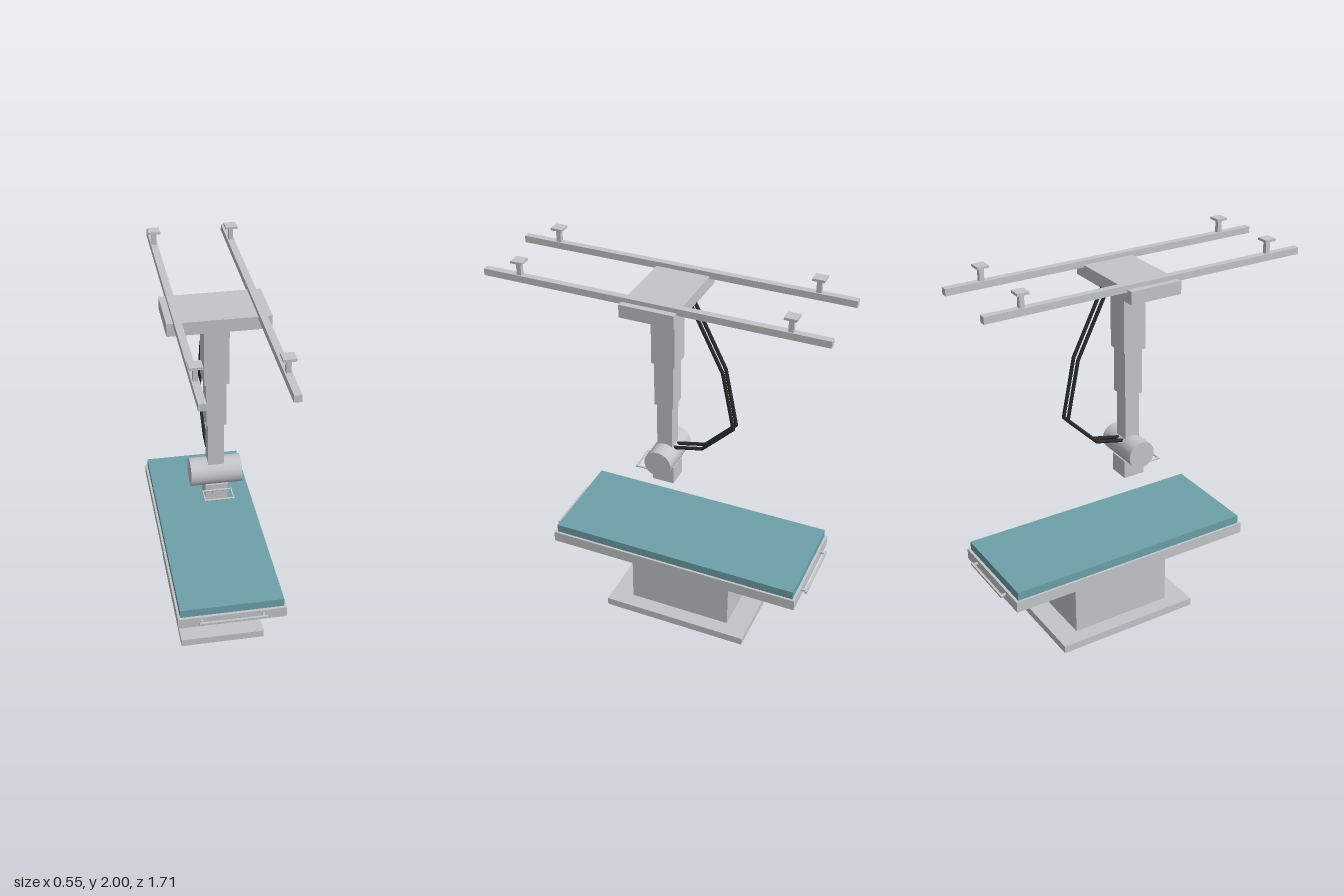
import * as THREE from 'three';

export function createModel() {
  const root = new THREE.Group();
  const material = (name, color) => {
    const m = new THREE.MeshStandardMaterial({ color });
    m.name = name;
    return m;
  };
  const grey = material('light grey metal', 0xc3c6c9);
  const teal = material('teal padding', 0x6ea0aa);
  const black = material('black cable', 0x2a2a2c);

  const group = (name) => {
    const g = new THREE.Group();
    g.name = name;
    root.add(g);
    return g;
  };
  // Box given by its limits on each axis
  const box = (parent, name, [x0, x1], [y0, y1], [z0, z1], mat = grey) => {
    const mesh = new THREE.Mesh(new THREE.BoxGeometry(x1 - x0, y1 - y0, z1 - z0), mat);
    mesh.position.set((x0 + x1) / 2, (y0 + y1) / 2, (z0 + z1) / 2);
    mesh.name = name;
    parent.add(mesh);
    return mesh;
  };
  const span = (half, centre = 0) => [centre - half, centre + half];
  // Round bar between two points
  const rod = (parent, name, a, b, radius, mat = grey) => {
    const dir = b.clone().sub(a);
    const mesh = new THREE.Mesh(new THREE.CylinderGeometry(radius, radius, dir.length(), 12), mat);
    mesh.position.copy(a).add(b).multiplyScalar(0.5);
    mesh.quaternion.setFromUnitVectors(new THREE.Vector3(0, 1, 0), dir.normalize());
    mesh.name = name;
    parent.add(mesh);
  };
  const v = (x, y, z) => new THREE.Vector3(x, y, z);

  // Patient table
  const table = group('table');
  box(table, 'basePlate', span(0.226), [0, 0.042], [-0.525, 0.26]);
  box(table, 'pedestal', span(0.146), [0.042, 0.402], [-0.41, 0.143]);
  box(table, 'tabletop', span(0.277), [0.402, 0.46], [-0.807, 0.54]);
  box(table, 'mattress', span(0.265), [0.46, 0.505], [-0.793, 0.525], teal);

  // Pull handles at both ends of the table
  for (const [end, out] of [[0.54, 1], [-0.807, -1]]) {
    const bar = end + out * 0.026;
    box(table, 'tableHandleBar', span(0.172), span(0.006, 0.44), span(0.006, bar));
    for (const x of [-0.157, 0.157]) {
      box(table, 'tableHandlePost', span(0.005, x), span(0.005, 0.44),
        [Math.min(end, bar), Math.max(end, bar)]);
    }
  }

  // Ceiling rails with hangers
  const ceiling = group('ceilingRails');
  for (const x of [-0.197, 0.197]) {
    box(ceiling, 'rail', span(0.0175, x), [1.89, 1.924], span(0.857));
    for (const z of [-0.67, 0.67]) {
      box(ceiling, 'hangerPost', span(0.011, x), [1.924, 1.99], span(0.012, z));
      box(ceiling, 'hangerPlate', span(0.03, x), [1.988, 2], span(0.03, z));
    }
  }

  // Carriage and telescopic column
  const arm = group('telescopicArm');
  box(arm, 'carriage', span(0.246), [1.837, 1.902], span(0.137));
  for (const [half, bottom, top] of [[0.061, 1.51, 1.837], [0.05, 1.27, 1.51], [0.04, 1.0, 1.27]]) {
    box(arm, 'columnStage', span(half), [bottom, top], span(half));
  }

  // Tube head with collimator
  const head = group('tubeHead');
  const housing = new THREE.Mesh(new THREE.CylinderGeometry(0.072, 0.072, 0.26, 40), grey);
  housing.rotation.z = Math.PI / 2;
  housing.position.y = 0.966;
  housing.name = 'tubeHousing';
  head.add(housing);
  box(head, 'collimator', span(0.057), [0.815, 0.912], span(0.057));

  // Steering handle in front of the collimator
  box(head, 'handleMount', span(0.02), [0.855, 0.885], [0.057, 0.066]);
  rod(head, 'handleFrontBar', v(-0.077, 0.88, 0.14), v(0.077, 0.88, 0.14), 0.005);
  rod(head, 'handleRearBar', v(-0.077, 0.88, 0.062), v(0.077, 0.88, 0.062), 0.005);
  for (const x of [-0.072, 0.072]) {
    rod(head, 'handleSide', v(x, 0.88, 0.062), v(x, 0.88, 0.14), 0.005);
  }

  // Pair of slack cables from carriage to tube head
  const cables = group('cables');
  const path = [[1.84, -0.13], [1.517, -0.294], [1.212, -0.358], [1.05, -0.197], [1.015, -0.045]];
  for (const x of [-0.021, 0.021]) {
    path.forEach(([y, z], i) => {
      if (i === 0) return;
      const [py, pz] = path[i - 1];
      rod(cables, 'cableSegment', v(x, py, pz), v(x, y, z), 0.009, black);
      if (i === path.length - 1) return;
      const joint = new THREE.Mesh(new THREE.SphereGeometry(0.009, 12, 8), black);
      joint.position.set(x, y, z);
      joint.name = 'cableBend';
      cables.add(joint);
    });
  }

  return root;
}
